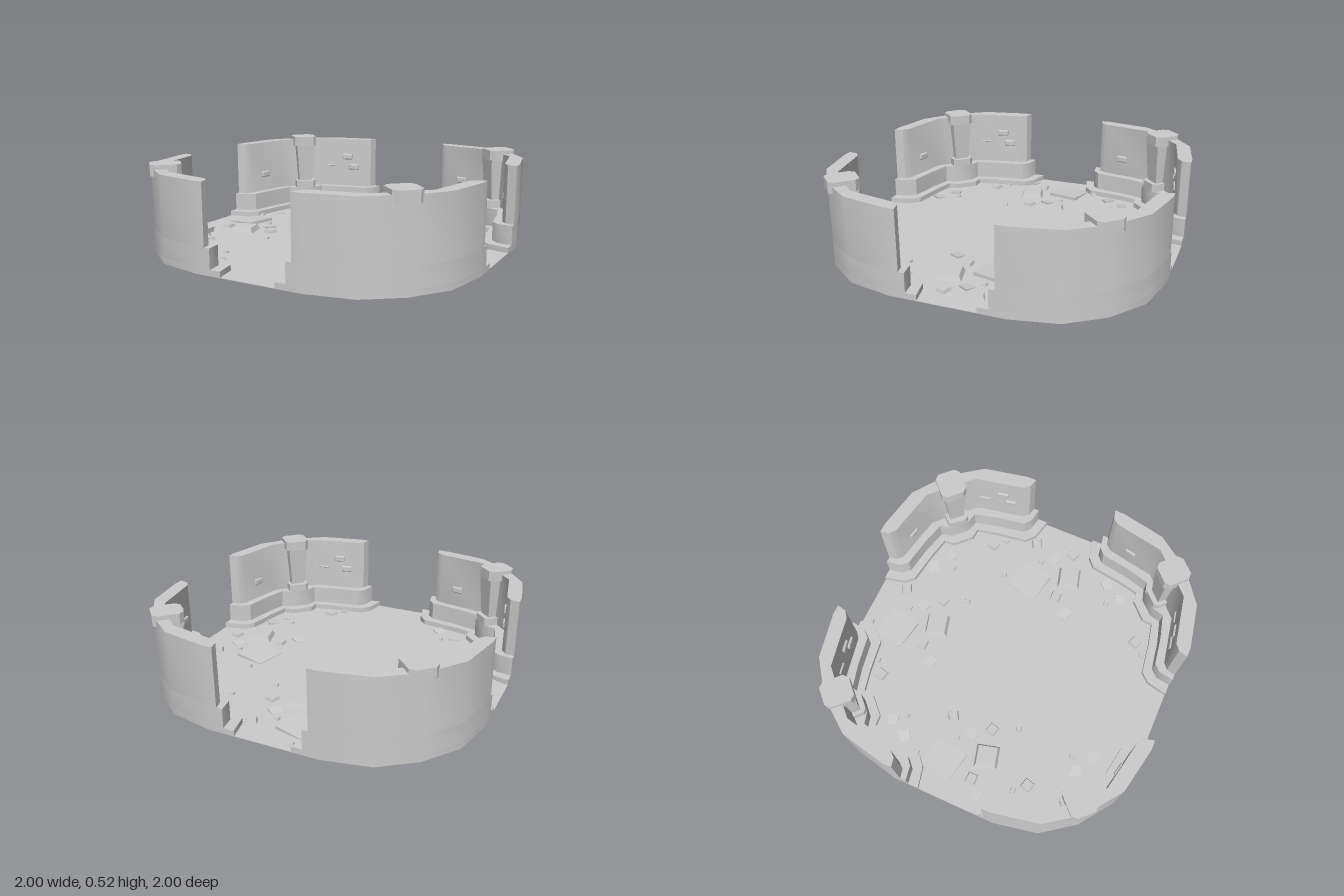
import * as THREE from 'three';
import { toCreasedNormals } from 'three/addons/utils/BufferGeometryUtils.js';
import { RoundedBoxGeometry } from 'three/addons/geometries/RoundedBoxGeometry.js';

const material = new THREE.MeshStandardMaterial({ color: 0xcccccc });

function add(parent, name, geometry, x = 0, y = 0, z = 0) {
  const mesh = new THREE.Mesh(geometry, material);
  mesh.name = name;
  mesh.position.set(x, y, z);
  parent.add(mesh);
  return mesh;
}

// Extrudes a plan outline of [x, z] points from y0 up to y1
function slab(points, y0, y1) {
  const shape = new THREE.Shape(points.map(([x, z]) => new THREE.Vector2(x, z)));
  const geo = new THREE.ExtrudeGeometry(shape, { depth: y1 - y0, bevelEnabled: false });
  geo.rotateX(Math.PI / 2).translate(0, y1, 0);
  return toCreasedNormals(geo, 0.6);
}

// Completes half a corner path by reflecting it across the diagonal
const mirror = (half) => [...half, ...half.map(([x, z]) => [z, x]).reverse()];

const OUTER = [[0.33, 1], [0.6, 0.945], [0.8, 0.8], [0.945, 0.6], [1, 0.33]];
const LAYERS = [
  ['plinth', 0, 0.035, [[0.17, 1], [0.2, 0.87], [0.25, 0.815], [0.45, 0.785], [0.585, 0.755], [0.59, 0.69]]],
  ['wallBase', 0.035, 0.15, [[0.235, 1], [0.25, 0.91], [0.29, 0.865], [0.47, 0.835], [0.62, 0.795], [0.64, 0.72]]],
  ['wall', 0.15, 0.5, [[0.27, 1], [0.283, 0.945], [0.32, 0.915], [0.62, 0.855], [0.72, 0.76]]],
];

// Chamfered block on the diagonal: half width u, radial range v0..v1, chamfer c
function diagonalBlock(u, v0, v1, c, y0, y1) {
  const plan = [[-u, v0 + c], [c - u, v0], [u - c, v0], [u, v0 + c], [u, v1 - c], [u - c, v1], [c - u, v1], [-u, v1 - c]];
  return slab(plan.map(([a, b]) => [(b + a) * Math.SQRT1_2, (b - a) * Math.SQRT1_2]), y0, y1);
}

function makeCorner() {
  const corner = new THREE.Group();
  corner.name = 'cornerWall';
  for (const [name, y0, y1, inner] of LAYERS) {
    add(corner, name, slab([...OUTER, ...mirror(inner).reverse()], y0, y1));
  }

  // Pillar
  add(corner, 'pillarFoot', diagonalBlock(0.07, 0.96, 1.08, 0.02, 0.15, 0.2));
  const shaft = new THREE.CylinderGeometry(0.094, 0.066, 0.27, 4, 1).toNonIndexed();
  shaft.computeVertexNormals();
  add(corner, 'pillarShaft', shaft, 0.735, 0.33, 0.735);
  add(corner, 'pillarCap', diagonalBlock(0.081, 0.965, 1.14, 0.028, 0.46, 0.525));

  // Loose bricks standing proud of the inner faces
  const bricks = [
    [0.45, 0.889, 0.37, 0.2], [0.4, 0.899, 0.295, 0.2], [0.57, 0.868, 0.3, 0.2],
    [0.889, 0.45, 0.27, Math.PI / 2 - 0.2],
  ];
  bricks.forEach(([x, z, y, turn], i) => {
    const thin = i === 2;
    const geo = new RoundedBoxGeometry(0.075, thin ? 0.012 : 0.042, 0.024, 2, thin ? 0.005 : 0.009);
    add(corner, 'wallBrick', geo, x, y, z).rotation.y = turn;
  });
  return corner;
}

// Bevelled stone
function stoneGeometry(size) {
  const h = Math.min(0.035, 0.008 + size * 0.2);
  const geo = new THREE.BoxGeometry(size, h, size);
  const p = geo.attributes.position;
  for (let i = 0; i < p.count; i++) {
    if (p.getY(i) > 0) p.setXYZ(i, p.getX(i) * 0.82, p.getY(i), p.getZ(i) * 0.82);
  }
  geo.computeVertexNormals();
  return geo.translate(0, h / 2, 0);
}

// Flat stone sinking into the floor along one edge
function sunkenGeometry(size) {
  const h = Math.min(0.022, 0.006 + size * 0.12);
  const geo = new THREE.BoxGeometry(size, h, size);
  const p = geo.attributes.position;
  for (let i = 0; i < p.count; i++) {
    const top = p.getY(i) > 0;
    p.setY(i, top ? h * (p.getX(i) > 0 ? 1 : 0.25) : 0);
  }
  geo.computeVertexNormals();
  return geo;
}

// Rubble as [x, z, size, turn in degrees]
const CLUSTER_STONES = [
  [0.015, -0.535, 0.145, 15], [-0.145, -0.565, 0.065, 0], [0.165, -0.835, 0.065, 28],
  [0.185, -0.575, 0.065, -15], [0.05, -0.755, 0.03, 0], [-0.14, -0.945, 0.033, 15],
];
const CLUSTER_SUNKEN = [[-0.11, -0.77, 0.2, -12], [-0.235, -0.465, 0.068, -25], [0.105, -0.68, 0.066, -30]];
const STONES = [
  [-0.44, -0.715, 0.068, -12], [-0.365, -0.78, 0.033, 15], [0.25, -0.425, 0.033, 15], [0.43, -0.62, 0.03, 0],
  [0.705, -0.44, 0.068, -20], [0.77, -0.37, 0.033, -15], [0.61, 0.425, 0.03, 0],
  [0.43, 0.7, 0.068, -20], [0.36, 0.77, 0.033, -15], [-0.41, 0.24, 0.033, 15],
  [-0.775, 0.36, 0.033, 15], [-0.71, 0.43, 0.068, -15], [-0.435, 0.61, 0.03, 0], [-0.615, -0.44, 0.03, 0],
];
const SUNKEN = [
  [0.39, -0.745, 0.07, 40], [0.505, -0.675, 0.066, -30], [0.74, 0.385, 0.07, 45], [0.67, 0.5, 0.066, 15],
  [-0.51, 0.665, 0.066, 15], [-0.39, 0.735, 0.07, -35], [-0.675, -0.51, 0.066, 15], [-0.74, -0.395, 0.07, 40],
];

export function createModel() {
  const model = new THREE.Group();
  model.name = 'ruinedChamber';

  // Floor, outlined by the four outer corners
  const outline = [];
  for (let k = 0; k < 4; k++) {
    const c = Math.round(Math.cos(k * Math.PI / 2)), s = Math.round(Math.sin(k * Math.PI / 2));
    for (const [x, z] of OUTER) outline.push([x * c + z * s, z * c - x * s]);
    // Corner points run from the z side to the x side, matching the turn direction
  }
  add(model, 'floor', slab(outline, 0, 0.003));

  for (let k = 0; k < 4; k++) {
    const corner = makeCorner();
    corner.rotation.y = k * Math.PI / 2;
    model.add(corner);
  }

  // Rubble
  const rubble = new THREE.Group();
  rubble.name = 'rubble';
  model.add(rubble);
  const scatter = (list, name, build, dx = 0, dz = 0) => {
    for (const [x, z, size, turn] of list) {
      add(rubble, name, build(size), x + dx, 0.001, z + dz).rotation.y = THREE.MathUtils.degToRad(turn);
    }
  };
  for (const [dx, dz] of [[0, 0], [0.665, 0.665], [-0.665, 0.665]]) {
    scatter(CLUSTER_STONES, 'stone', stoneGeometry, dx, dz);
    scatter(CLUSTER_SUNKEN, 'sunkenStone', sunkenGeometry, dx, dz);
  }
  scatter(STONES, 'stone', stoneGeometry);
  scatter(SUNKEN, 'sunkenStone', sunkenGeometry);
  return model;
}
